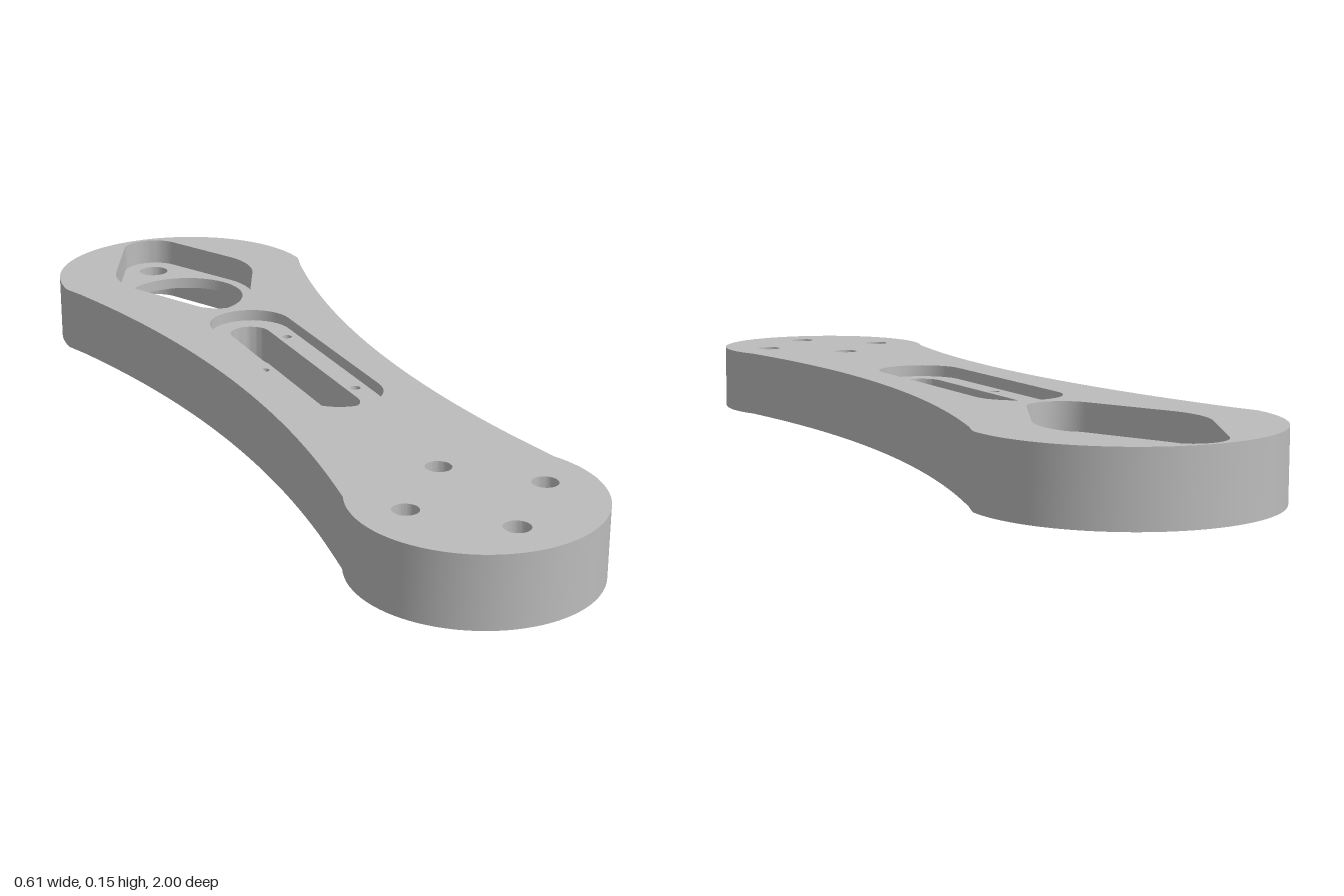
import * as THREE from 'three';
import { toCreasedNormals } from 'three/addons/utils/BufferGeometryUtils.js';

// Contours are drawn in plan: first axis is x, second axis is -z (counter-clockwise).
const H = 0.146;
const HUB = 0.697, TAIL = -0.757;
const PI = Math.PI;

export function createModel() {
  const group = new THREE.Group();
  group.name = 'linkArm';
  const metal = new THREE.MeshStandardMaterial({ color: 0xbcbcbc });
  metal.name = 'grey metal';

  const add = (name, geometry) => {
    const mesh = new THREE.Mesh(geometry, metal);
    mesh.name = name;
    group.add(mesh);
  };

  // Drop repeated points, including the closing one
  const clean = (pts) => pts.filter((p, i) => p.distanceTo(pts[(i + 1) % pts.length]) > 1e-5);

  const arc = (x, v, r, a0, a1, n) => Array.from({ length: n + 1 }, (_, i) => {
    const a = a0 + (a1 - a0) * i / n;
    return new THREE.Vector2(x + r * Math.cos(a), v + r * Math.sin(a));
  });
  const circle = (x, v, r, n = 32) => clean(arc(x, v, r, 0, 2 * PI, n));
  const slot = (v0, v1, r) => clean([...arc(0, v1, r, 0, PI, 20), ...arc(0, v0, r, PI, 2 * PI, 20)]);

  // Flat face at height y, facing up or down
  const face = (name, y, up, outline, holes = []) => {
    const shape = new THREE.Shape(outline);
    shape.holes = holes.map((h) => new THREE.Path(h));
    const g = new THREE.ShapeGeometry(shape);
    g.rotateX(-PI / 2).translate(0, y, 0);
    if (!up) {
      g.index.array.reverse();
      g.computeVertexNormals();
    }
    add(name, g);
  };

  // Upright wall along a contour; inward walls line holes and pockets
  const wall = (name, pts, y0, y1, inward = true) => {
    const pos = [];
    pts.forEach((a, i) => {
      const b = pts[(i + 1) % pts.length];
      const [p, q] = inward ? [b, a] : [a, b];
      pos.push(p.x, y0, -p.y, q.x, y0, -q.y, q.x, y1, -q.y);
      pos.push(p.x, y0, -p.y, q.x, y1, -q.y, p.x, y1, -p.y);
    });
    const g = new THREE.BufferGeometry();
    g.setAttribute('position', new THREE.Float32BufferAttribute(pos, 3));
    add(name, toCreasedNormals(g, 0.35));
  };

  // Body outline: two round ends joined by hollow sides
  const hubR = 0.303, tailR = 0.243;
  const sideX = (v) => 0.175 + 0.181 * (v + 0.143) ** 2;
  const hubA = Math.asin((0.69 - HUB) / hubR);
  const tailA = Math.asin(0.097 / tailR);
  const side = (s) => Array.from({ length: 29 }, (_, i) => {
    const v = s * (-0.015 + 1.335 * ((i + 1) / 30 - 0.5)) + (s > 0 ? 0.03 : 0);
    return new THREE.Vector2(s * sideX(v), v);
  });
  const outline = clean([
    ...arc(0, HUB, hubR, hubA, PI - hubA, 64),
    ...side(1).reverse().map((p) => new THREE.Vector2(-p.x, p.y)),
    ...arc(0, TAIL, tailR, PI - tailA, 2 * PI + tailA, 56),
    ...side(1),
  ]);

  // Diamond pocket: round middle with smaller round tips
  const tip = 0.219, midR = 0.167, tipR = 0.073;
  const t = Math.acos((midR - tipR) / tip);
  const diamond = clean([
    ...arc(0, HUB + tip, tipR, PI / 2 - t, PI / 2 + t, 16),
    ...arc(0, HUB, midR, PI / 2 + t, 1.5 * PI - t, 12),
    ...arc(0, HUB - tip, tipR, 1.5 * PI - t, 1.5 * PI + t, 16),
    ...arc(0, HUB, midR, 1.5 * PI + t, 2.5 * PI - t, 12),
  ]);
  const bore = circle(0, HUB, 0.142, 64);
  const hubBolts = [tip, -tip].map((d) => circle(0, HUB + d, 0.035));

  // Stepped slot with its drain hole and tiny screw holes
  const slotOuter = slot(-0.178, 0.283, 0.093);
  const slotInner = slot(-0.178, 0.286, 0.045);
  const drain = circle(0, 0.286, 0.038);
  const screws = [[0.066, 0.23], [-0.066, 0.055], [0.066, -0.122]].map(([x, v]) => circle(x, v, 0.011, 16));

  // Tail bolts, counterbored from below
  const boltSpots = [[0, 0.145], [0, -0.145], [0.145, 0], [-0.145, 0]];
  const tailBolts = boltSpots.map(([x, d]) => circle(x, TAIL + d, 0.026));
  const counterbores = boltSpots.map(([x, d]) => circle(x, TAIL + d, 0.051));
  const blindHoles = [circle(0, TAIL, 0.035), circle(0, -0.012, 0.035)];

  // Body skin
  wall('bodySide', outline, 0, H, false);
  face('bodyTop', H, true, outline, [diamond, slotOuter, ...tailBolts]);
  face('bodyBottom', 0, false, outline, [diamond, drain, ...counterbores, ...blindHoles]);

  // Hub: matching pockets above and below a thin web
  const webLow = 0.06, webHigh = H - 0.06;
  wall('hubPocketTopWall', diamond, webHigh, H);
  wall('hubPocketBottomWall', diamond, 0, webLow);
  face('hubWebTop', webHigh, true, diamond, [bore, ...hubBolts]);
  face('hubWebBottom', webLow, false, diamond, [bore, ...hubBolts]);
  [bore, ...hubBolts].forEach((h) => wall('hubHole', h, webLow, webHigh));

  // Slot
  const ledge = H - 0.025, floor = 0.04;
  wall('slotRim', slotOuter, ledge, H);
  face('slotLedge', ledge, true, slotOuter, [slotInner, ...screws]);
  wall('slotWall', slotInner, floor, ledge);
  face('slotFloor', floor, true, slotInner, [drain]);
  wall('drainHole', drain, 0, floor);
  screws.forEach((h) => {
    wall('screwHole', h, 0.07, ledge);
    face('screwHoleEnd', 0.07, true, h);
  });

  // Tail bolt holes
  const step = 0.075;
  tailBolts.forEach((h, i) => {
    wall('tailBoltHole', h, step, H);
    wall('counterbore', counterbores[i], 0, step);
    face('counterboreSeat', step, false, counterbores[i], [h]);
  });

  // Blind holes underneath
  blindHoles.forEach((h) => {
    wall('blindHole', h, 0, 0.035);
    face('blindHoleEnd', 0.035, false, h);
  });

  return group;
}
